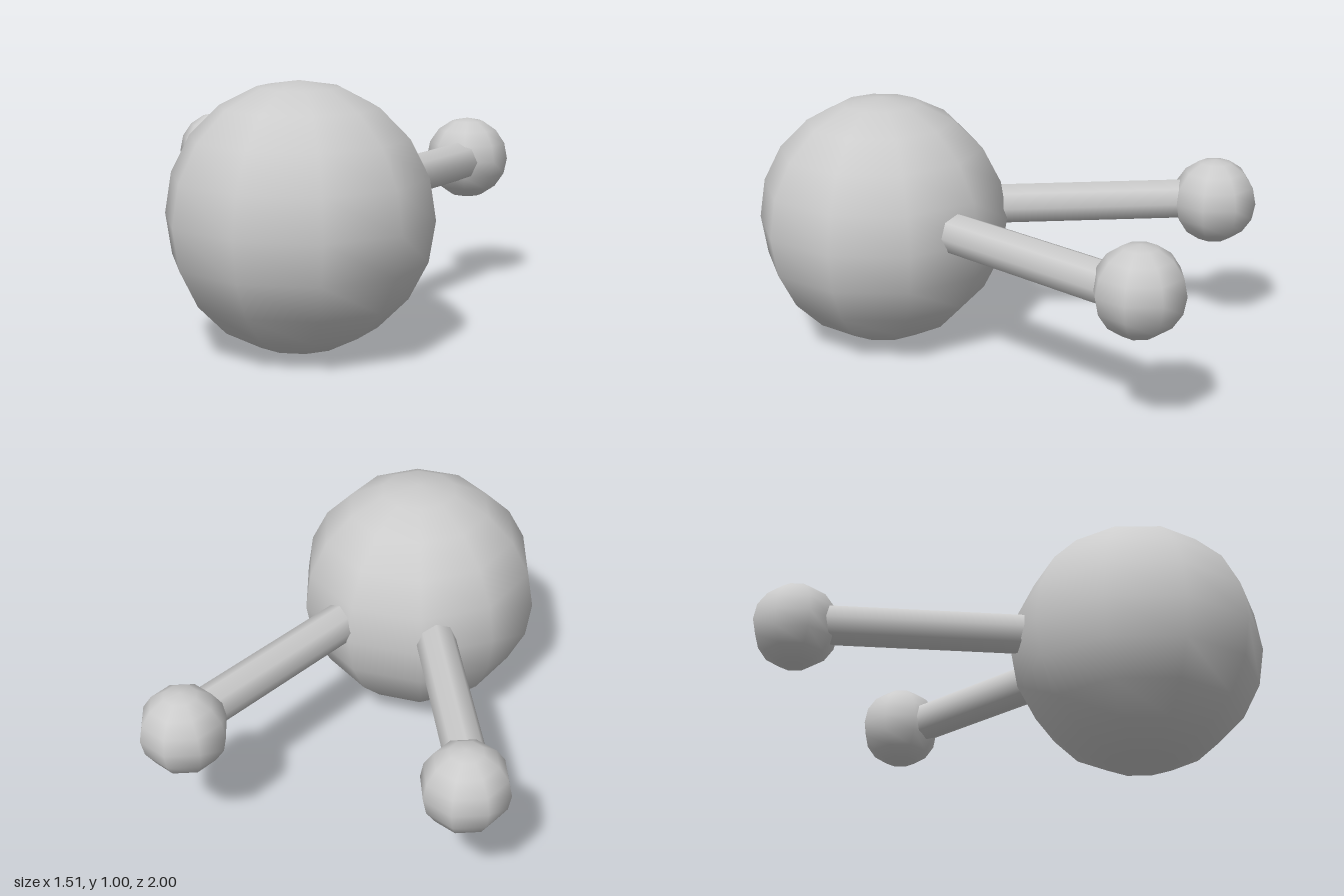
import * as THREE from 'three';

const material = new THREE.MeshStandardMaterial({ color: 0xcccccc });

// Low-sided smooth ball, turned about the vertical axis
function ball(name, radius, segments, position, turnDegrees) {
  const mesh = new THREE.Mesh(new THREE.SphereGeometry(radius, segments, segments), material);
  mesh.name = name;
  mesh.position.set(...position);
  mesh.rotation.y = THREE.MathUtils.degToRad(turnDegrees);
  return mesh;
}

// Eight-sided rod between two points
function rod(name, radius, from, to) {
  const a = new THREE.Vector3(...from);
  const b = new THREE.Vector3(...to);
  const geometry = new THREE.CylinderGeometry(radius, radius, a.distanceTo(b), 8);
  geometry.rotateX(Math.PI / 2);
  const mesh = new THREE.Mesh(geometry, material);
  mesh.name = name;
  mesh.position.copy(a).lerp(b, 0.5);
  mesh.lookAt(b);
  return mesh;
}

export function createModel() {
  const group = new THREE.Group();
  group.name = 'ballAndRodModel';

  // Large central ball
  group.add(ball('centralBall', 0.5, 10, [0.27, 0.5, 0.496], -20.3));

  // Two small balls, each joined to the large one by a rod
  const y = 0.543;
  group.add(
    ball('rightSmallBall', 0.173, 8, [-0.593, y, -0.54], 14.5),
    rod('rightRod', 0.082, [-0.595, y, -0.5], [0.095, y, 0.3]),
    ball('leftSmallBall', 0.173, 8, [0.467, y, -0.838], 14.5),
    rod('leftRod', 0.082, [0.492, y, -0.82], [0.338, y, 0.2])
  );
  return group;
}
